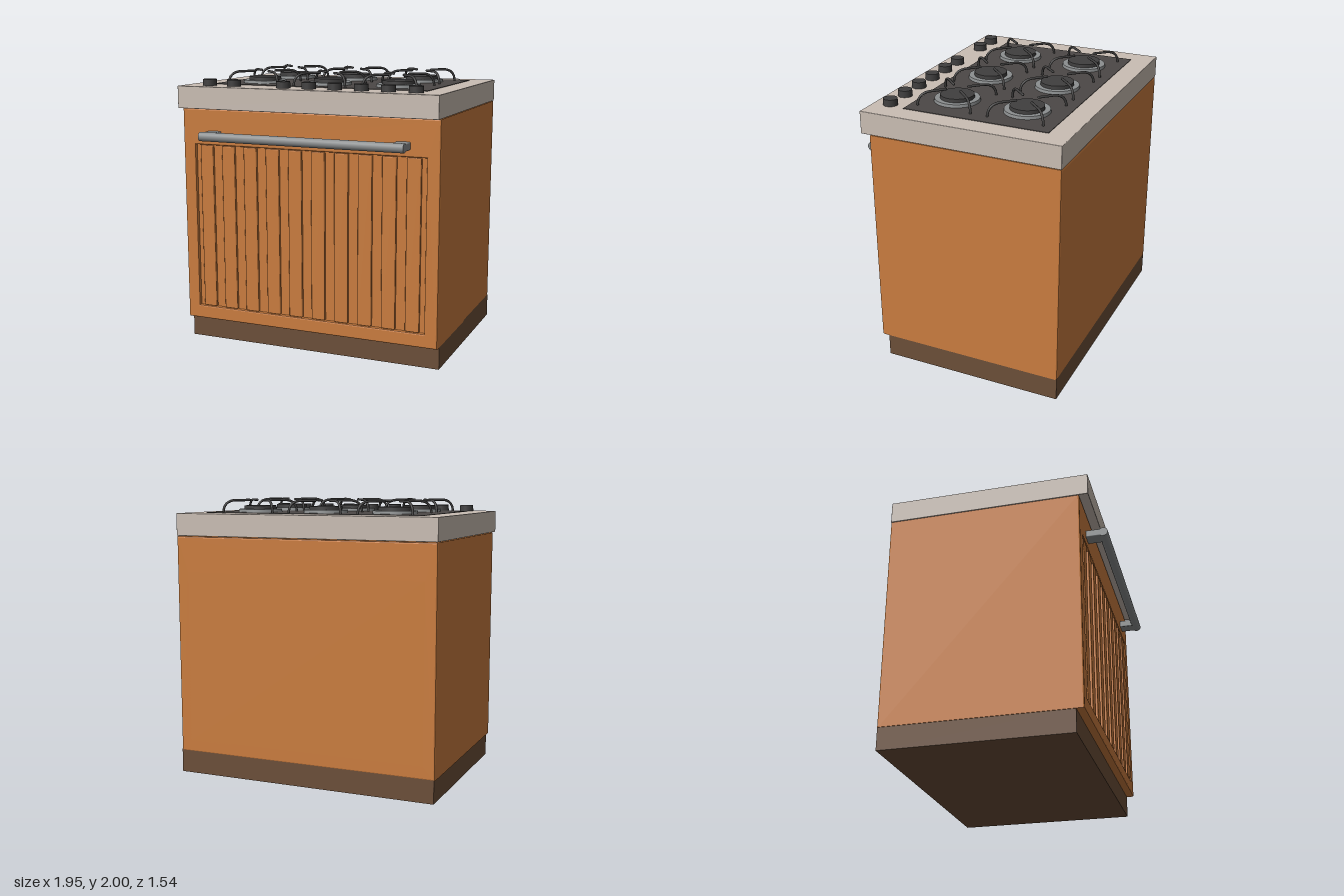
import * as THREE from 'three';
import { RoundedBoxGeometry } from 'three/addons/geometries/RoundedBoxGeometry.js';

const material = (name, color) => {
  const m = new THREE.MeshStandardMaterial({ color });
  m.name = name;
  return m;
};

export function createModel() {
  const orange = material('orange enamel', 0xcb7d3f);
  const brown = material('brown plinth', 0x6c4f39);
  const stone = material('pale worktop', 0xcabeb4);
  const charcoal = material('charcoal hob', 0x4c4846);
  const black = material('black iron', 0x403f3f);
  const steel = material('grey steel', 0x8c8f90);

  const root = new THREE.Group();
  root.name = 'cooker';
  const add = (name, geometry, mat, x = 0, y = 0, z = 0, parent = root) => {
    const mesh = new THREE.Mesh(geometry, mat);
    mesh.name = name;
    mesh.position.set(x, y, z);
    parent.add(mesh);
    return mesh;
  };
  // Box given by its lower and upper corners
  const addBox = (name, mat, [x0, y0, z0], [x1, y1, z1], radius = 0) => {
    const size = [x1 - x0, y1 - y0, z1 - z0];
    const geometry = radius
      ? new RoundedBoxGeometry(...size, 2, radius)
      : new THREE.BoxGeometry(...size);
    return add(name, geometry, mat, (x0 + x1) / 2, (y0 + y1) / 2, (z0 + z1) / 2);
  };

  // Plinth, set back at the front
  addBox('plinth', brown, [-0.97, 0, -0.768], [0.975, 0.17, 0.56]);

  // Cabinet shell with softened edges, open around the door panel
  const bevel = 0.01;
  const rectangle = (Path, x, y0, y1) => new Path([
    new THREE.Vector2(-x, y0), new THREE.Vector2(x, y0),
    new THREE.Vector2(x, y1), new THREE.Vector2(-x, y1),
  ]);
  const shell = rectangle(THREE.Shape, 0.975 - bevel, 0.16 + bevel, 1.737 - bevel);
  shell.holes.push(rectangle(THREE.Path, 0.88 + bevel, 0.26 - bevel, 1.475 + bevel));
  const shellGeometry = new THREE.ExtrudeGeometry(shell, {
    depth: 1.385 - 2 * bevel, bevelEnabled: true,
    bevelSize: bevel, bevelThickness: bevel, bevelSegments: 2,
  });
  add('cabinet', shellGeometry, orange, 0, 0, -0.77 + bevel);
  addBox('doorPanel', orange, [-0.9, 0.24, -0.77], [0.9, 1.495, 0.59]);

  // Vertical slats in the door recess
  const slatGeometry = new RoundedBoxGeometry(0.102, 1.21, 0.04, 2, 0.007);
  for (let i = 0; i < 10; i++) {
    add('doorSlat', slatGeometry, orange, (i - 4.5) * 0.1755, 0.8675, 0.592);
  }

  // Door handle: round bar on two brackets
  const bar = add('handleBar', new THREE.CylinderGeometry(0.033, 0.033, 1.53, 24), steel, 0, 1.552, 0.737);
  bar.rotation.z = Math.PI / 2;
  for (const side of [-1, 1]) {
    add('handleBracket', new RoundedBoxGeometry(0.1, 0.054, 0.13, 2, 0.008), steel, side * 0.715, 1.552, 0.672);
  }

  // Worktop and hob plate
  addBox('worktop', stone, [-0.977, 1.74, -0.77], [0.977, 1.9, 0.678], 0.004);
  addBox('hobPlate', charcoal, [-0.82, 1.895, -0.615], [0.82, 1.904, 0.435]);

  // Burners, each with a steel ring, a cap and four arched pan supports
  const ringGeometry = new THREE.LatheGeometry([
    [0, 0], [0.16, 0], [0.16, 0.016], [0.154, 0.022], [0, 0.022],
  ].map(([r, y]) => new THREE.Vector2(r, y)), 40);
  ringGeometry.deleteAttribute('normal');
  const capGeometry = new THREE.CylinderGeometry(0.117, 0.119, 0.03, 36);
  const ring = new THREE.CylinderGeometry(0.156, 0.16, 0.024, 40);
  ringGeometry.dispose();

  const arch = new THREE.CurvePath();
  const point = (d, y) => new THREE.Vector3(d, y, 0);
  arch.add(new THREE.LineCurve3(point(0.282, 1.9), point(0.278, 1.925)));
  arch.add(new THREE.CubicBezierCurve3(point(0.278, 1.925), point(0.268, 1.975), point(0.225, 1.99), point(0.18, 1.99)));
  arch.add(new THREE.LineCurve3(point(0.18, 1.99), point(0.08, 1.99)));
  const supportGeometry = new THREE.TubeGeometry(arch, 28, 0.009, 8);
  const tipGeometry = new THREE.SphereGeometry(0.009, 8, 6);

  for (const x of [-0.525, 0, 0.525]) {
    for (const z of [-0.34, 0.18]) {
      const burner = new THREE.Group();
      burner.name = 'burner';
      burner.position.set(x, 0, z);
      root.add(burner);
      add('burnerRing', ring, steel, 0, 1.913, 0, burner);
      add('burnerCap', capGeometry, black, 0, 1.935, 0, burner);
      for (let i = 0; i < 4; i++) {
        const support = new THREE.Group();
        support.name = 'panSupport';
        support.rotation.y = Math.PI / 4 + i * Math.PI / 2;
        burner.add(support);
        add('supportWire', supportGeometry, black, 0, 0, 0, support);
        add('supportTip', tipGeometry, black, 0.08, 1.99, 0, support);
      }
    }
  }

  // Control knobs along the front edge, with one position left empty
  const knobGeometry = new THREE.CylinderGeometry(0.049, 0.051, 0.048, 28);
  for (const step of [-4, -3, -1, 0, 1, 2, 3, 4]) {
    add('knob', knobGeometry, black, step * 0.195, 1.922, 0.555);
  }

  return root;
}
